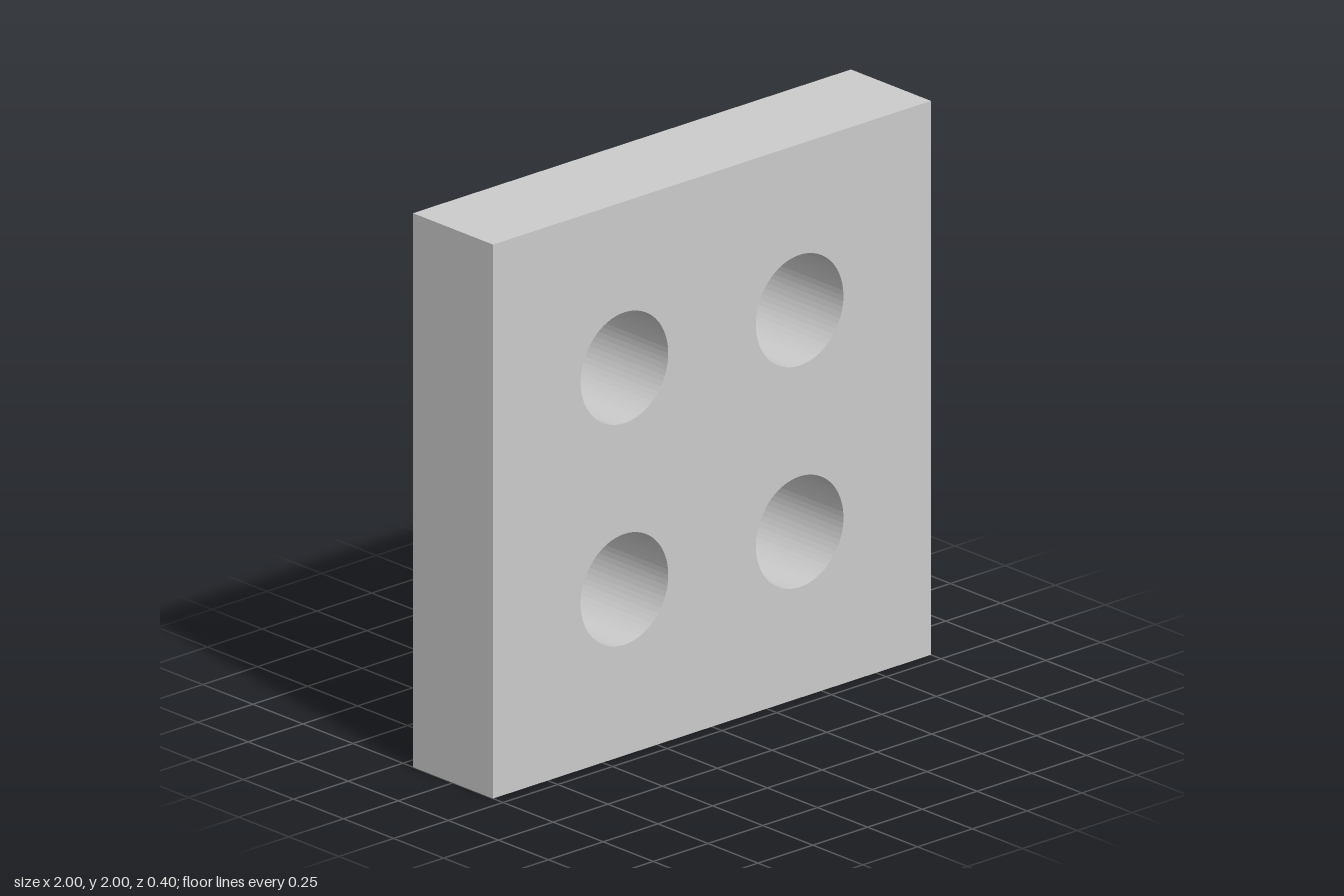
import * as THREE from 'three';

const SIZE = 2, DEPTH = 0.4, HOLE_RADIUS = 0.2, HOLE_OFFSET = 0.4;

export function createModel() {
  const group = new THREE.Group();
  group.name = 'perforatedBlock';

  // Square outline standing on y = 0
  const h = SIZE / 2;
  const outline = new THREE.Shape();
  outline.moveTo(-h, 0);
  outline.lineTo(h, 0);
  outline.lineTo(h, SIZE);
  outline.lineTo(-h, SIZE);
  outline.closePath();

  // Four round through-holes, mirrored about the centre
  for (const sx of [-1, 1]) {
    for (const sy of [-1, 1]) {
      const hole = new THREE.Path();
      hole.absarc(sx * HOLE_OFFSET, h + sy * HOLE_OFFSET, HOLE_RADIUS, 0, Math.PI * 2, true);
      outline.holes.push(hole);
    }
  }

  // Extrude the plate and centre its thickness on z = 0
  const geometry = new THREE.ExtrudeGeometry(outline, {
    depth: DEPTH, bevelEnabled: false, curveSegments: 32,
  });
  geometry.translate(0, 0, -DEPTH / 2);

  const material = new THREE.MeshStandardMaterial({ color: 0xcccccc, flatShading: true });
  const plate = new THREE.Mesh(geometry, material);
  plate.name = 'plateWithHoles';
  group.add(plate);
  return group;
}
